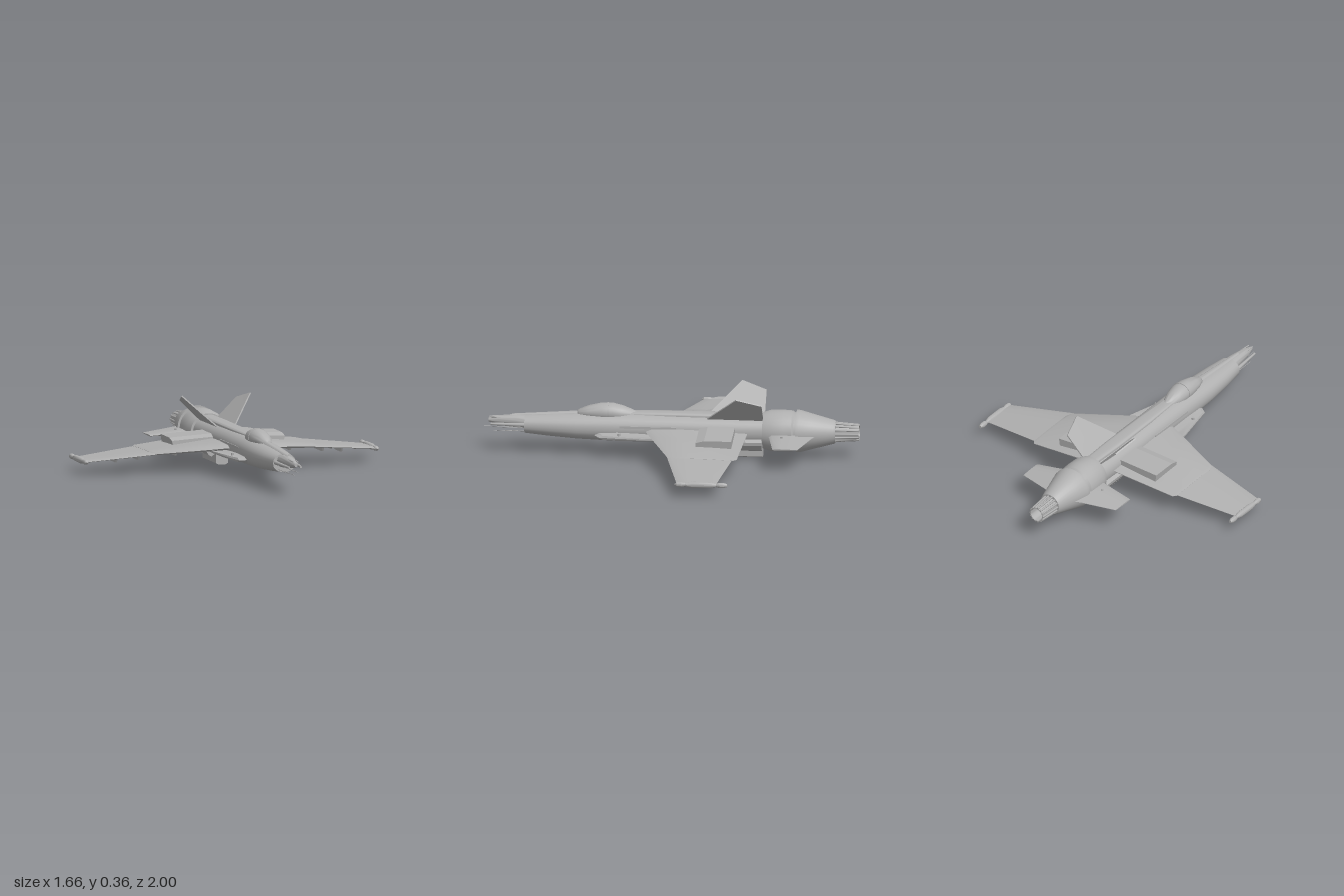
import * as THREE from 'three';
import { toCreasedNormals } from 'three/addons/utils/BufferGeometryUtils.js';

const grey = new THREE.MeshStandardMaterial({ color: 0xb0b0b0 });
grey.name = 'airframe grey';

// Closed, capped skin through equal-length point loops, always wound outward
function loft(sections, crease = 0.6) {
  const n = sections[0].length, pos = sections.flat(2), idx = [];
  const last = sections.length - 1;
  for (let i = 0; i < last; i++) for (let j = 0; j < n; j++) {
    const a = i * n + j, b = i * n + (j + 1) % n;
    idx.push(a, b, b + n, a, b + n, a + n);
  }
  for (const i of [0, last]) {
    const c = pos.length / 3;
    for (let k = 0; k < 3; k++) pos.push(sections[i].reduce((s, p) => s + p[k], 0) / n);
    for (let j = 0; j < n; j++) {
      const a = i * n + j, b = i * n + (j + 1) % n;
      idx.push(c, ...(i ? [a, b] : [b, a]));
    }
  }
  const v = (i) => new THREE.Vector3().fromArray(pos, i * 3);
  const o = v(0);
  let volume = 0;
  for (let i = 0; i < idx.length; i += 3) {
    const [a, b, c] = [0, 1, 2].map((k) => v(idx[i + k]).sub(o));
    volume += a.dot(b.cross(c));
  }
  if (volume < 0) idx.reverse();
  const g = new THREE.BufferGeometry();
  g.setAttribute('position', new THREE.Float32BufferAttribute(pos, 3));
  g.setIndex(idx);
  return toCreasedNormals(g, crease);
}

// Rounded body along z; each ring is [z, half width, bottom, top]
const body = (rings, power = 0.9, n = 28) => loft(rings.map(([z, w, b, t]) =>
  Array.from({ length: n }, (_, i) => {
    const a = (i / n) * Math.PI * 2, c = Math.cos(a), s = Math.sin(a);
    const f = (q) => Math.sign(q) * Math.abs(q) ** power;
    return [w * f(c), (b + t) / 2 + ((t - b) / 2) * f(s), z];
  })));

// Wing panel along x; each rib is [x, y, leading z, trailing z, thickness]
const panel = (ribs, s) => loft(ribs.map(([x, y, l, r, t]) =>
  [[0, 0], [0.06, 0.4], [0.3, 0.5], [0.6, 0.4], [1, 0.06], [1, -0.06], [0.6, -0.4], [0.3, -0.5], [0.06, -0.4]]
    .map(([u, h]) => [s * x, y + h * t, l + (r - l) * u])));

// Flat plate: outline thickened both ways along an offset
const plate = (pts, off) => loft([1, -1].map((d) => pts.map((p) => p.map((q, k) => q + d * off[k]))), 0.1);

// Turned part about the z axis; profile is [radius, z] with z rising along the outside
function turned(profile, n = 32) {
  const g = new THREE.LatheGeometry(profile.map(([r, z]) => new THREE.Vector2(r, z)), n);
  return toCreasedNormals(g.rotateX(Math.PI / 2), 0.5);
}

// Round rod between two points
function rod(a, b, r0, r1 = r0, n = 10) {
  const A = new THREE.Vector3(...a), B = new THREE.Vector3(...b), d = B.clone().sub(A);
  const g = new THREE.CylinderGeometry(r1, r0, d.length(), n);
  g.applyQuaternion(new THREE.Quaternion().setFromUnitVectors(new THREE.Vector3(0, 1, 0), d.normalize()));
  return g.translate(...A.add(B).multiplyScalar(0.5).toArray());
}

export function createModel() {
  const model = new THREE.Group();
  const add = (name, geometry, x = 0, y = 0, z = 0) => {
    const m = new THREE.Mesh(geometry, grey);
    m.name = name;
    m.position.set(x, y, z);
    model.add(m);
    return m;
  };

  // Fuselage, nose, spine and canopy
  add('fuselage', body([
    [0.78, 0.063, 0.107, 0.205], [0.65, 0.078, 0.095, 0.214], [0.5, 0.088, 0.084, 0.222],
    [0.3, 0.09, 0.076, 0.23], [0, 0.087, 0.075, 0.23], [-0.3, 0.09, 0.073, 0.228], [-0.52, 0.085, 0.075, 0.225],
  ]));
  add('nose', body([
    [0.74, 0.045, 0.125, 0.205], [0.82, 0.036, 0.14, 0.205], [0.92, 0.024, 0.148, 0.195], [0.975, 0.008, 0.16, 0.18],
  ]));
  add('noseRidge', body([[0.85, 0.012, 0.18, 0.207], [0.5, 0.022, 0.19, 0.232]]));
  add('spine', body([
    [0.24, 0.03, 0.2, 0.236], [0, 0.04, 0.2, 0.24], [-0.3, 0.042, 0.2, 0.24], [-0.5, 0.035, 0.2, 0.24],
  ], 0.5));
  add('canopy', body([
    [0.505, 0.006, 0.215, 0.23], [0.49, 0.026, 0.2, 0.243], [0.44, 0.043, 0.19, 0.263], [0.37, 0.054, 0.18, 0.279],
    [0.31, 0.055, 0.18, 0.279], [0.26, 0.047, 0.18, 0.267], [0.215, 0.032, 0.19, 0.25], [0.185, 0.012, 0.2, 0.236],
  ], 1));
  add('canopyFrame', body([[0.342, 0.0565, 0.18, 0.2815], [0.332, 0.0565, 0.18, 0.2815]], 1));

  // Engine barrel, tail cone and ribbed nozzle
  const engine = [
    ['engineBarrel', [[0, -0.655], [0.1, -0.655], [0.109, -0.645], [0.112, -0.6], [0.11, -0.53], [0.098, -0.49], [0, -0.49]]],
    ['engineNeck', [[0, -0.68], [0.1, -0.68], [0.1, -0.64], [0, -0.64]]],
    ['tailCone', [[0, -0.875], [0.058, -0.875], [0.064, -0.865], [0.095, -0.75], [0.113, -0.685], [0.113, -0.667], [0, -0.667]]],
    ['nozzle', [[0, -0.92], [0.035, -0.92], [0.037, -1], [0.041, -1], [0.046, -0.86]]],
  ];
  for (const [name, profile] of engine) add(name, turned(profile), 0, 0.15, 0);
  for (let i = 0; i < 14; i++) {
    const a = (i / 14) * Math.PI * 2, c = Math.cos(a), s = Math.sin(a);
    add('nozzleRib', rod([0.05 * c, 0.15 + 0.05 * s, -0.86], [0.041 * c, 0.15 + 0.041 * s, -1], 0.006, 0.005, 6));
  }

  // Keel box and its two angled neighbours
  for (const a of [-0.95, 0, 0.95]) {
    const r = a ? 0.105 : 0.145;
    const section = (z) => [[-0.036, -0.05], [0.036, -0.05], [0.034, -r + 0.008], [0.018, -r], [-0.018, -r], [-0.034, -r + 0.008]]
      .map(([x, y]) => [x * Math.cos(a) - y * Math.sin(a), 0.15 + x * Math.sin(a) + y * Math.cos(a) - (a ? 0.015 : 0), z]);
    add(a ? 'sideKeel' : 'keel', loft([section(-0.26), section(-0.487)], 0.3));
  }

  // Nose needles
  for (const [x, y, z] of [[0, 0.112, 0.95], [0.03, 0.122, 0.93], [-0.03, 0.122, 0.93], [0, 0.135, 1]])
    add('noseNeedle', rod([x, y, 0.74], [x, y, z], 0.0025, 0.001, 6));

  for (const s of [1, -1]) {
    // Prongs beside the nose
    add('noseProng', rod([s * 0.052, 0.16, 0.74], [s * 0.033, 0.157, 0.96], 0.012, 0.006));
    add('upperProng', rod([s * 0.02, 0.196, 0.72], [s * 0.012, 0.187, 0.97], 0.008, 0.003));

    // Main wing in two panels
    add('innerWing', panel([
      [0.04, 0.155, 0.15, -0.415, 0.035], [0.2, 0.138, 0.085, -0.403, 0.03],
      [0.45, 0.113, -0.02, -0.387, 0.02], [0.465, 0.111, -0.045, -0.365, 0.014],
    ], s));
    add('outerWing', panel([[0.44, 0.113, -0.015, -0.365, 0.014], [0.81, 0.076, -0.1, -0.307, 0.01]], s));

    // Forward strake and its small fitting
    add('strake', panel([
      [0.06, 0.125, 0.42, 0, 0.045], [0.12, 0.12, 0.38, 0, 0.028], [0.14, 0.122, 0.28, 0, 0.022], [0.175, 0.13, 0.125, 0, 0.012],
    ], s));
    add('strakeFitting', rod([s * 0.12, 0.13, 0.27], [s * 0.12, 0.146, 0.27], 0.008));

    // Wing-tip pod with thicker ends
    const pod = turned([[0, -0.37], [0.008, -0.368], [0.014, -0.35], [0.014, -0.325], [0.009, -0.31],
      [0.016, -0.28], [0.017, -0.18], [0.01, -0.145], [0.014, -0.125], [0.012, -0.1], [0, -0.085]], 14);
    add('tipPod', pod, s * 0.812, 0.075, 0);

    // Raised box on the wing root
    const block = (z, h) => [[0.07, 0.145], [0.31, 0.13], [0.316, 0.172 + h], [0.07, 0.185 + h]].map(([x, y]) => [s * x, y, z]);
    add('wingBox', loft([block(-0.155, -0.012), block(-0.2, 0), block(-0.345, 0)], 0.2));

    // Rails under the wing
    for (const [x, front, back, depth] of [[0.19, -0.02, -0.25, 0.03], [0.32, -0.08, -0.27, 0.034], [0.41, -0.12, -0.28, 0.02],
      [0.515, -0.12, -0.25, 0.034], [0.57, -0.14, -0.25, 0.02], [0.63, -0.15, -0.25, 0.034], [0.71, -0.16, -0.25, 0.016]]) {
      const y = 0.159 - 0.103 * x;
      add('underwingRail', plate([[s * x, y, front + 0.02], [s * x, y - depth, front], [s * x, y - depth, back], [s * x, y, back - 0.04]], [0.005, 0, 0]));
    }

    // Canted tail fin
    add('tailFin', plate([[s * 0.045, 0.215, -0.19], [s * 0.192, 0.367, -0.36], [s * 0.158, 0.327, -0.493], [s * 0.045, 0.215, -0.493]], [s * 0.0025, -0.0025, 0]));

    // Tailplane and its hinge button
    add('tailplane', panel([[0.06, 0.145, -0.51, -0.785, 0.03], [0.12, 0.142, -0.53, -0.755, 0.024], [0.3, 0.13, -0.563, -0.695, 0.008]], s));
    add('tailplaneButton', rod([s * 0.145, 0.13, -0.6], [s * 0.145, 0.158, -0.6], 0.007));

    // Side panel line
    add('sideRail', new THREE.BoxGeometry(0.006, 0.012, 0.3), s * 0.086, 0.17, 0.12);
  }

  // Rest the lowest point on the ground
  const box = new THREE.Box3().setFromObject(model);
  for (const m of model.children) m.position.y -= box.min.y;
  return model;
}
